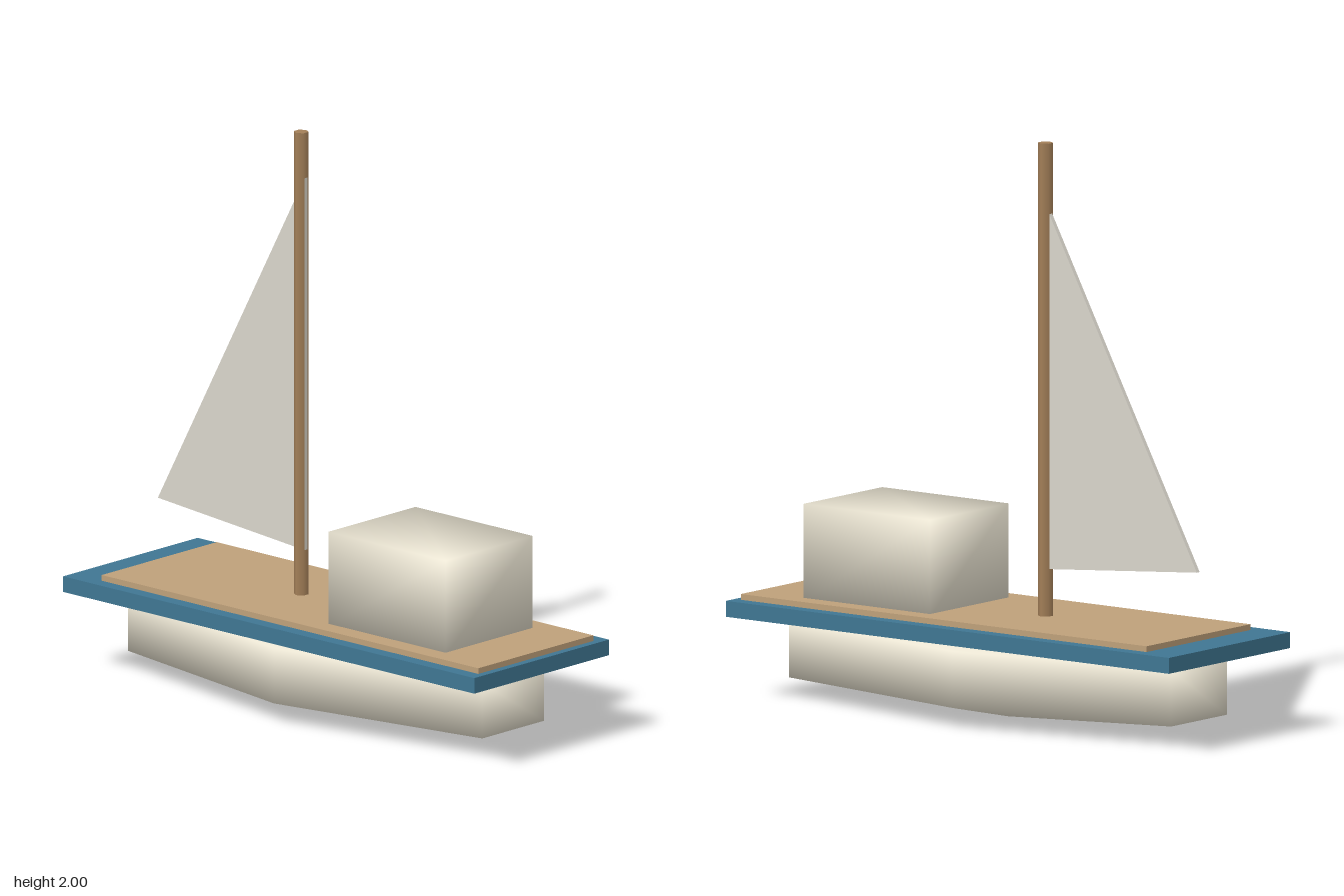
import * as THREE from 'three';
import { mergeVertices } from 'three/addons/utils/BufferGeometryUtils.js';

const material = (color) => new THREE.MeshStandardMaterial({ color });

// Share corners between faces so the shading runs smoothly over the edges
function soften(geometry) {
  geometry.deleteAttribute('normal');
  geometry.deleteAttribute('uv');
  const merged = mergeVertices(geometry, 1e-4);
  merged.computeVertexNormals();
  return merged;
}

// Box given by its half width and its y and z ranges
function slab(halfWidth, y0, y1, z0, z1) {
  return new THREE.BoxGeometry(halfWidth * 2, y1 - y0, z1 - z0)
    .translate(0, (y0 + y1) / 2, (z0 + z1) / 2);
}

export function createModel() {
  const boat = new THREE.Group();
  boat.name = 'sailboat';

  const cream = material(0xe8e2d0);
  const blue = material(0x3f7692);
  const tan = material(0xbea07a);
  const wood = material(0xa37f58);
  const canvas = material(0xd9d5cb);

  const add = (name, geometry, mat) => {
    const mesh = new THREE.Mesh(geometry, mat);
    mesh.name = name;
    boat.add(mesh);
  };

  // Hull: six-sided, stretched lengthwise, pointed underneath
  const profile = [[0, 0], [0.31, 0.07], [0.31, 0.265], [0, 0.345]]
    .map(([r, y]) => new THREE.Vector2(r, y));
  const hull = new THREE.LatheGeometry(profile, 6)
    .rotateY(Math.PI / 2)
    .scale(1, 1, 0.825 / (0.31 * Math.sin(Math.PI / 3)));
  add('hull', soften(hull), cream);

  // Rim and deck boards
  add('rim', slab(0.337, 0.29, 0.345, -0.957, 0.957), blue);
  add('deck', slab(0.288, 0.34, 0.365, -0.823, 0.93), tan);

  // Cabin
  add('cabin', soften(slab(0.218, 0.355, 0.69, 0.167, 0.713)), cream);

  // Mast
  const mast = new THREE.CylinderGeometry(0.026, 0.026, 1.65, 6)
    .rotateY(Math.PI / 2)
    .translate(0, 1.175, -0.162);
  add('mast', mast, wood);

  // Sail: thin triangle whose leading edge passes through the mast
  const outline = new THREE.Shape([[0.139, 0.525], [0.822, 0.582], [0.139, 1.84]]
    .map(([back, y]) => new THREE.Vector2(back, y)));
  const sail = new THREE.ExtrudeGeometry(outline, { depth: 0.016, bevelEnabled: false })
    .translate(0, 0, -0.008)
    .rotateY(Math.PI / 2);
  add('sail', sail, canvas);

  return boat;
}
